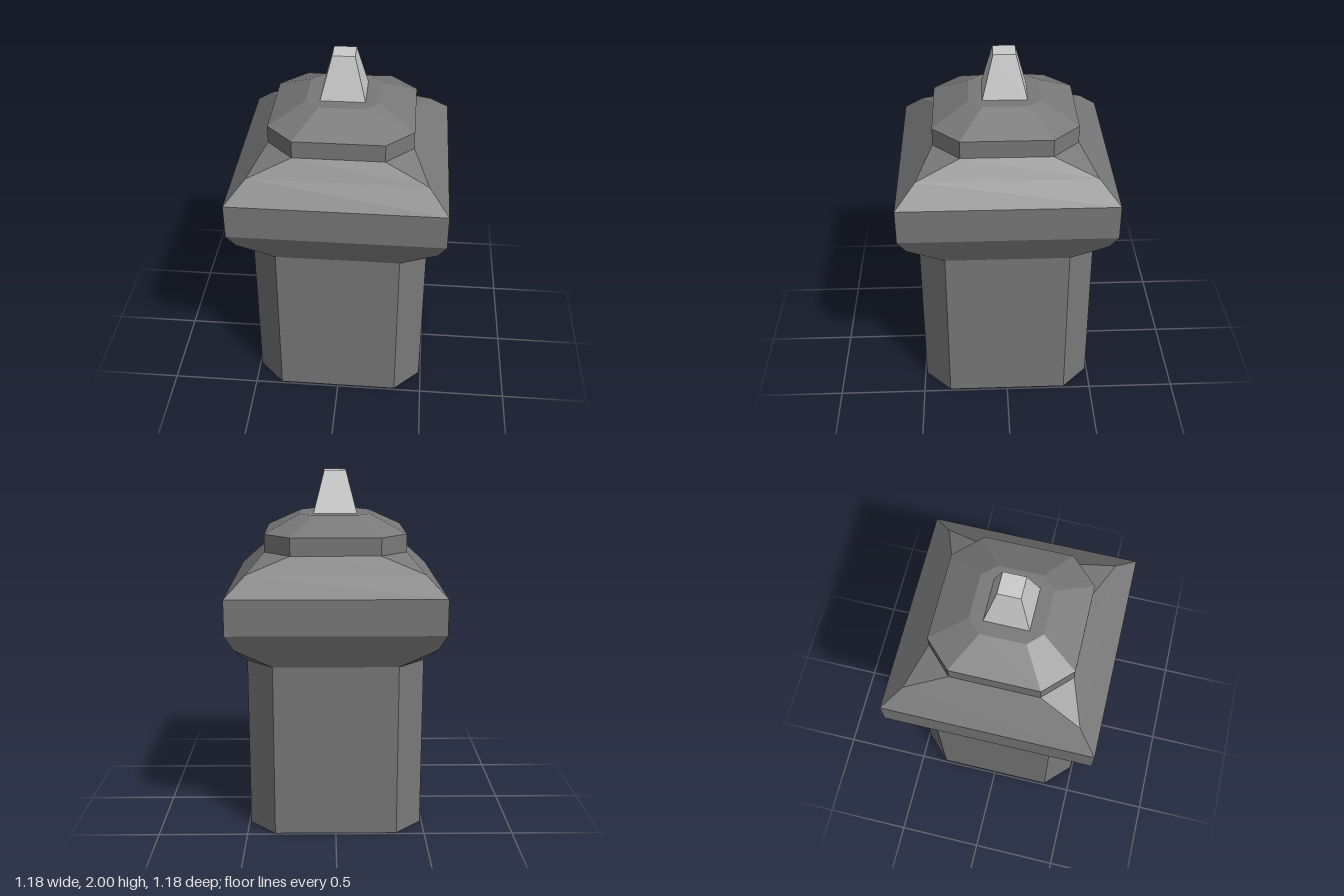
import * as THREE from 'three';

// Square ring of half-width h with corners cut back to c (c = h gives a sharp square)
function ring([h, c, y]) {
  return [[h, c], [c, h], [-c, h], [-h, c], [-h, -c], [-c, -h], [c, -h], [h, -c]]
    .map(([x, z]) => new THREE.Vector3(x, y, z));
}

// Skin a stack of rings, optionally closing the top
function loft(name, profile, material, capTop = false) {
  const points = [];
  const triangle = (a, b, c) => {
    if (new THREE.Triangle(a, b, c).getArea() > 1e-7) points.push(a, b, c);
  };
  const rings = profile.map(ring);
  for (let r = 0; r < rings.length - 1; r++) {
    const lo = rings[r], hi = rings[r + 1];
    for (let i = 0; i < 8; i++) {
      const j = (i + 1) % 8;
      triangle(lo[i], hi[i], hi[j]);
      triangle(lo[i], hi[j], lo[j]);
    }
  }
  if (capTop) {
    const top = rings[rings.length - 1];
    for (let i = 1; i < 7; i++) triangle(top[0], top[i + 1], top[i]);
  }
  const geometry = new THREE.BufferGeometry().setFromPoints(points);
  geometry.computeVertexNormals();
  const mesh = new THREE.Mesh(geometry, material);
  mesh.name = name;
  return mesh;
}

export function createModel() {
  const dark = new THREE.MeshStandardMaterial({ color: 0x797979, flatShading: true, side: THREE.DoubleSide });
  const light = new THREE.MeshStandardMaterial({ color: 0xcccccc, flatShading: true, side: THREE.DoubleSide });

  const group = new THREE.Group();
  group.name = 'pillar';
  group.add(
    // Hollow shaft, open underneath
    loft('shaft', [[0.49, 0.343, 0], [0.49, 0.343, 0.98]], dark),
    // Flare whose cut corners run out to a sharp square
    loft('flare', [[0.49, 0.343, 0.98], [0.545, 0.545, 1.09], [0.588, 0.588, 1.177]], dark),
    loft('squareBand', [[0.588, 0.588, 1.177], [0.588, 0.588, 1.373]], dark),
    // Sloping shoulder narrowing back to cut corners
    loft('shoulder', [[0.588, 0.588, 1.373], [0.479, 0.479, 1.482], [0.392, 0.245, 1.569]], dark),
    loft('collar', [[0.392, 0.245, 1.569], [0.392, 0.245, 1.667]], dark),
    loft('cap', [[0.392, 0.245, 1.667], [0.196, 0.123, 1.765]], dark, true),
    // Pale tapered tip
    loft('finial', [[0.122, 0.122, 1.765], [0.061, 0.061, 2]], light, true),
  );
  return group;
}
